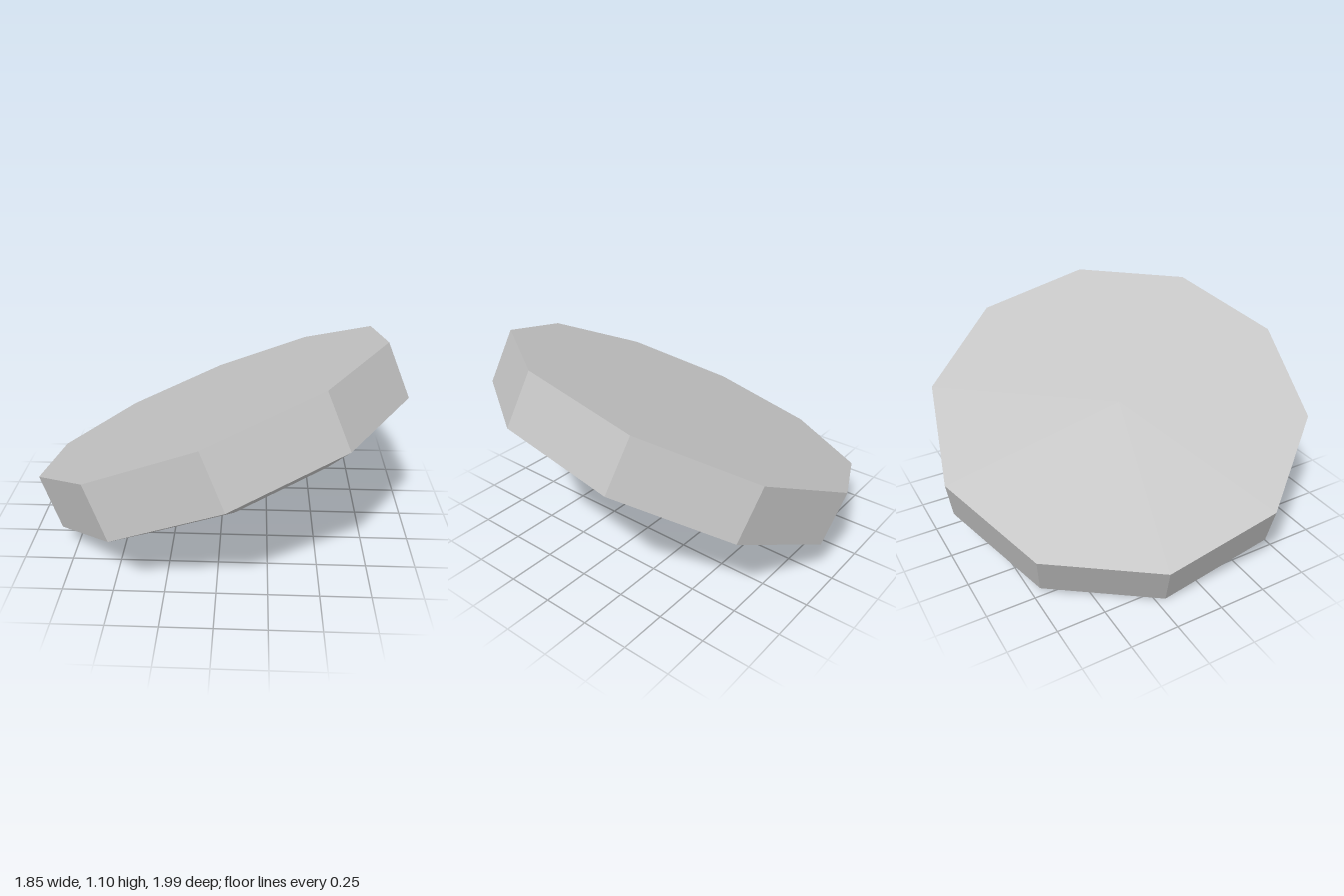
import * as THREE from 'three';

const SIDES = 10, RADIUS = 0.99, BAND = 0.294, DEPTH = 0.2, RINGS = 4;

export function createModel() {
  const grey = new THREE.MeshStandardMaterial({ color: 0xc4c4c4, flatShading: true });
  grey.name = 'stone grey';
  const model = new THREE.Group();
  model.name = 'tiltedDisc';

  const lathe = (name, points) => {
    const mesh = new THREE.Mesh(new THREE.LatheGeometry(points, SIDES), grey);
    mesh.name = name;
    model.add(mesh);
  };

  // Shallow faceted dome underneath: a flattened 40 degree spherical cap
  const cap = THREE.MathUtils.degToRad(40);
  const dome = [];
  for (let i = 0; i <= RINGS; i++) {
    const a = cap * i / RINGS;
    dome.push(new THREE.Vector2(
      RADIUS * Math.sin(a) / Math.sin(cap),
      -DEPTH * (Math.cos(a) - Math.cos(cap)) / (1 - Math.cos(cap))));
  }
  lathe('dome', dome);

  // Straight side band
  lathe('sideBand', [new THREE.Vector2(RADIUS, 0), new THREE.Vector2(RADIUS, BAND)]);

  // Flat top
  lathe('flatTop', [new THREE.Vector2(RADIUS, BAND), new THREE.Vector2(0, BAND)]);

  // Tilt the disc so that its lowest rim corner touches the ground
  const up = new THREE.Vector3(-0.383, 0.905, -0.186).normalize();
  const side = new THREE.Vector3().crossVectors(up, new THREE.Vector3(0, 0.202, 0.979)).normalize();
  const front = new THREE.Vector3().crossVectors(side, up);
  model.quaternion.setFromRotationMatrix(new THREE.Matrix4().makeBasis(side, up, front));
  model.position.set(0.053, 0.422, 0.025);
  return model;
}
